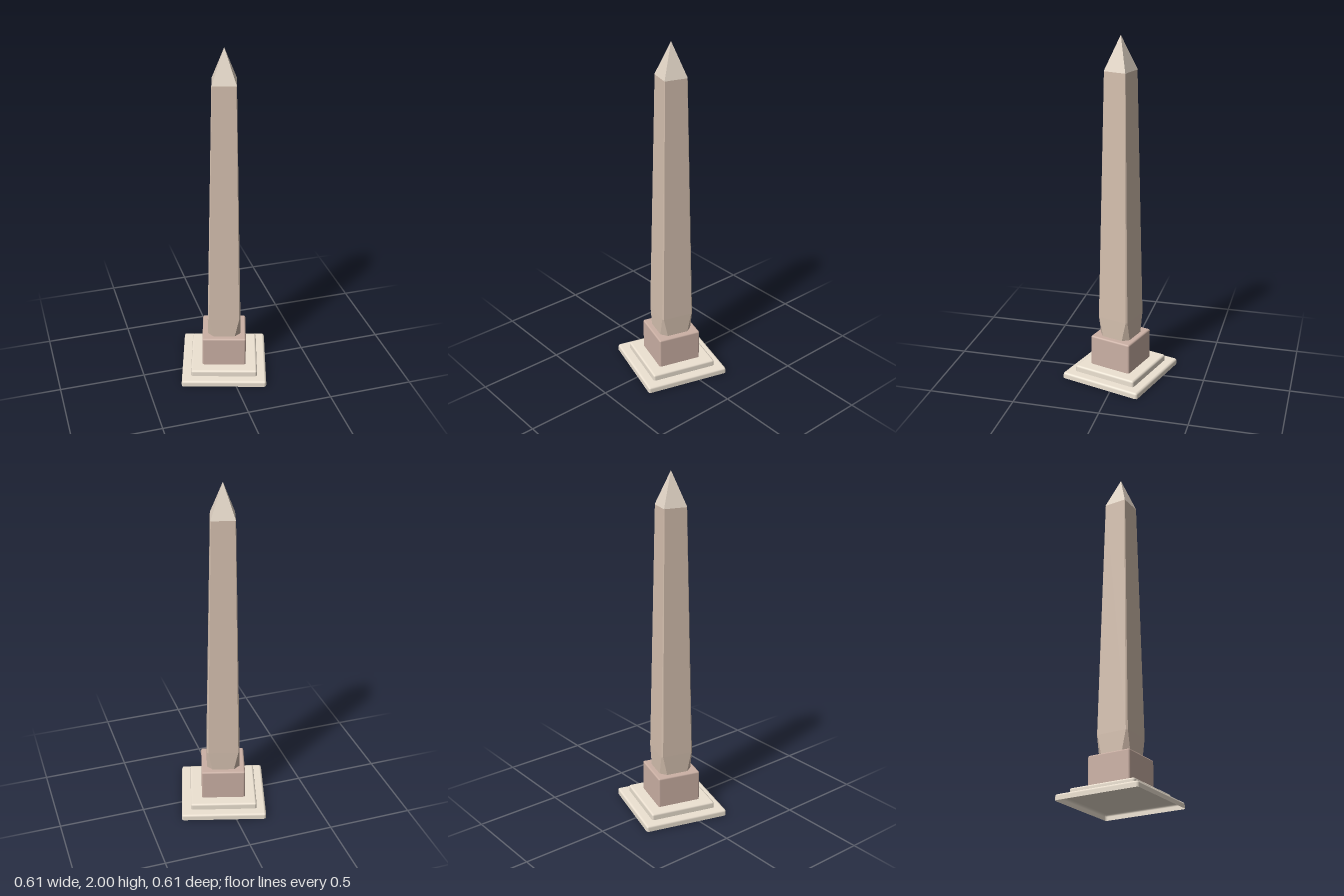
import * as THREE from 'three';
import { RoundedBoxGeometry } from 'three/addons/geometries/RoundedBoxGeometry.js';

const material = (color) => new THREE.MeshStandardMaterial({ color });

function addMesh(group, name, geometry, mat, y = 0) {
  const mesh = new THREE.Mesh(geometry, mat);
  mesh.name = name;
  mesh.position.y = y;
  group.add(mesh);
}

// Hollow block, open below: the upper half of a softened box
function openBlock(width, height, radius) {
  const geometry = new RoundedBoxGeometry(width, height * 2, width, 1, radius);
  const pos = geometry.attributes.position;
  for (let i = 0; i < pos.count; i++) pos.setY(i, Math.max(0, pos.getY(i)));
  const kept = [];
  for (let i = 0; i < pos.count; i += 3) {
    const corners = [i, i + 1, i + 2];
    if (corners.some((v) => pos.getY(v) > 0)) kept.push(...corners);
  }
  geometry.clearGroups();
  geometry.setIndex(kept);
  return geometry;
}

// Square with cut corners: h is the half width, c the corner cut
function ring({ y, h, c }) {
  const k = h - c;
  return [[h, -k], [h, k], [k, h], [-k, h], [-h, k], [-h, -k], [-k, -h], [k, -h]]
    .map(([x, z]) => [x, y, z]);
}

// Flat-faced skin through a stack of cut-corner squares
function loft(levels) {
  const rings = levels.map(ring);
  const pos = [];
  for (let j = 0; j < rings.length - 1; j++) {
    for (let i = 0; i < 8; i++) {
      const n = (i + 1) % 8;
      const a = rings[j][i], b = rings[j][n], c = rings[j + 1][n], d = rings[j + 1][i];
      pos.push(...a, ...d, ...c, ...a, ...c, ...b);
    }
  }
  const geometry = new THREE.BufferGeometry();
  geometry.setAttribute('position', new THREE.Float32BufferAttribute(pos, 3));
  geometry.computeVertexNormals();
  return geometry;
}

export function createModel() {
  const model = new THREE.Group();
  model.name = 'obelisk';

  const paleStone = material(0xeee3d3);
  paleStone.side = THREE.DoubleSide;
  const pinkStone = material(0xccb1a5);
  pinkStone.side = THREE.DoubleSide;
  const shaftStone = material(0xd5c0af);
  shaftStone.flatShading = true;
  const capStone = material(0xe2d5c6);
  capStone.flatShading = true;

  // Stepped base and plinth: hollow blocks stacked on each other
  const blocks = [
    ['lowerStep', 0.499, 0, 0.035, 0.013, paleStone],
    ['upperStep', 0.391, 0.035, 0.072, 0.012, paleStone],
    ['plinth', 0.257, 0.072, 0.253, 0.01, pinkStone],
  ];
  for (const [name, width, y0, y1, radius, mat] of blocks) {
    addMesh(model, name, openBlock(width, y1 - y0, radius), mat, y0);
  }

  // Tapering shaft, its corner cuts widening at the foot
  addMesh(model, 'shaft', loft([
    { y: 0.25, h: 0.0965, c: 0.034 },
    { y: 0.37, h: 0.096, c: 0.008 },
    { y: 1.81, h: 0.067, c: 0.003 },
  ]), shaftStone);

  // Pointed cap
  const cap = new THREE.ConeGeometry(0.067 * Math.SQRT2, 0.19, 4, 1);
  cap.rotateY(Math.PI / 4);
  addMesh(model, 'pointedCap', cap, capStone, 1.905);

  // The whole monument stands turned on its axis
  model.rotation.y = -0.285;
  return model;
}
